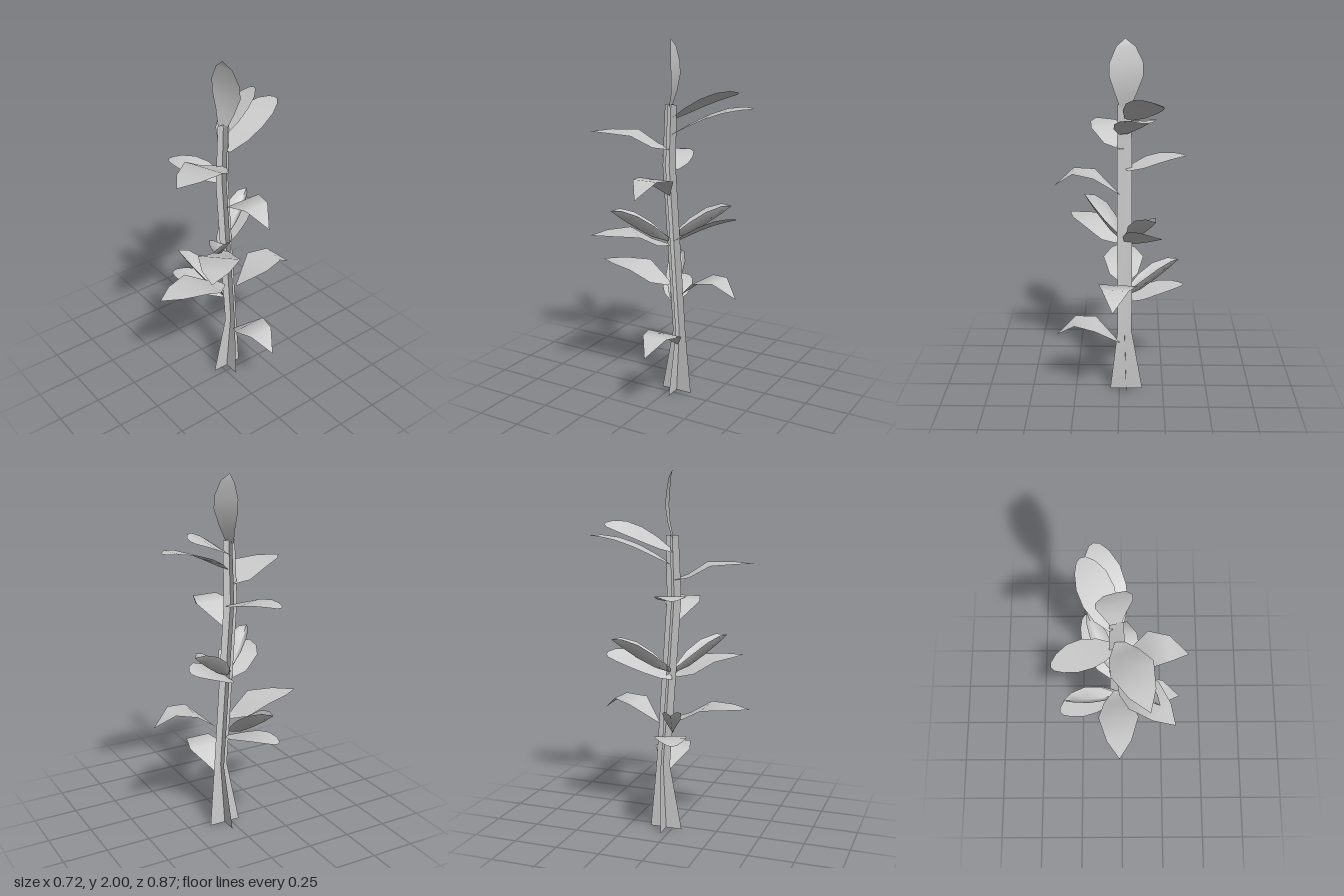
import * as THREE from 'three';

const material = new THREE.MeshStandardMaterial({ color: 0xcccccc, side: THREE.DoubleSide });

// Skin a grid of cross-sections (each an array of Vector3) into a smooth surface
function skin(name, sections) {
  const cols = sections[0].length;
  const index = [];
  for (let r = 0; r < sections.length - 1; r++) {
    for (let c = 0; c < cols - 1; c++) {
      const a = r * cols + c, b = a + 1, d = a + cols, e = d + 1;
      index.push(a, b, d, b, e, d);
    }
  }
  const geometry = new THREE.BufferGeometry().setFromPoints(sections.flat());
  geometry.setIndex(index);
  geometry.computeVertexNormals();
  const mesh = new THREE.Mesh(geometry, material);
  mesh.name = name;
  return mesh;
}

// Leaf profiles, one row each: [distance out, rise, half width, lift of the edges]
const DROOPING = [[0, 0, 0.006, 0], [0.137, 0.115, 0.105, 0], [0.25, 0.13, 0.072, 0], [0.355, 0.045, 0, 0]];
const POINTED = [[0, 0, 0.02, 0], [0.08, 0.02, 0.08, 0], [0.19, 0.085, 0.115, 0], [0.33, 0.09, 0.071, 0], [0.437, 0.085, 0, 0]];
const ROUNDED = [[0, 0, 0.02, 0], [0.07, 0.02, 0.066, 0], [0.15, 0.045, 0.086, 0], [0.23, 0.058, 0.082, 0],
  [0.3, 0.058, 0.055, 0], [0.34, 0.052, 0.025, 0], [0.35, 0.05, 0, 0]];
const RISING = ROUNDED.map(([d, , w]) => [d * 1.02, 0.14 * Math.sin(d * 4.3), w, 0]);
const LONG = ROUNDED.map(([d, , w]) => [d * 1.24, 0.15 * Math.sin(d * 4.8), w * 1.15, 0]);
const FOLDED = [[0, 0, 0.008, 0.025], [0.09, 0.03, 0.045, 0.075], [0.18, 0.085, 0.05, 0.08],
  [0.265, 0.145, 0.03, 0.05], [0.32, 0.19, 0, 0]];
const UPRIGHT = [[0, 0, 0.03, 0], [-0.02, 0.08, 0.06, 0], [-0.03, 0.17, 0.092, 0], [-0.025, 0.24, 0.09, 0],
  [-0.015, 0.32, 0.052, 0], [0, 0.36, 0, 0]];

// A leaf starts at base and points along (dx, dz); roll tilts it sideways
function leaf(name, base, [dx, dz], profile, roll = 0) {
  const length = Math.hypot(dx, dz);
  const ux = dx / length, uz = dz / length;
  const sections = profile.map(([d, rise, w, lift]) => [-1, 0, 1].map((s) => new THREE.Vector3(
    base[0] + ux * d + uz * w * s,
    base[1] + rise + Math.abs(s) * lift + roll * w * s,
    base[2] + uz * d - ux * w * s)));
  return skin(name, sections);
}

export function createModel() {
  const model = new THREE.Group();
  model.name = 'leafyPlant';

  // Stem: two crossed blades that flare at the foot, rows of [y, x, z, half width]
  const stemRows = [[0, -0.04, -0.037, 0.0925], [0.37, -0.03, -0.058, 0.04], [1.32, -0.027, 0.006, 0.041], [1.655, -0.027, -0.004, 0.036]];
  const stem = new THREE.Group();
  stem.name = 'stem';
  for (const [ax, az, name] of [[1, 0, 'stemBladeAcross'], [0, 1, 'stemBladeDeep']]) {
    stem.add(skin(name, stemRows.map(([y, x, z, w]) =>
      [-w, w].map((s) => new THREE.Vector3(x + ax * s, y, z + az * s)))));
  }
  model.add(stem);

  const leaves = [
    // crown leaf
    ['crownLeaf', [-0.03, 1.64, 0], [0.24, 0.97], UPRIGHT],
    // drooping pointed leaves
    ['upperLeftLeaf', [0, 1.165, -0.008], [1, 0], DROOPING],
    ['lowerLeftLeaf', [0, 0.305, -0.062], [1, 0], DROOPING],
    ['lowerBackLeaf', [-0.01, 0.605, -0.085], [0.04, -0.35], DROOPING],
    // broad pointed leaves
    ['upperFrontLeaf', [-0.02, 1.415, 0], [0.165, 0.425], POINTED],
    ['lowerFrontLeaf', [-0.025, 0.645, 0], [0.01, 0.435], POINTED],
    ['middleFrontLeftLeaf', [-0.015, 0.88, 0], [0.31, 0.315], POINTED],
    // rounded leaves
    ['upperRightLeaf', [-0.04, 1.302, -0.02], [-0.32, 0.135], ROUNDED],
    ['lowerRightLeaf', [-0.04, 0.543, -0.02], [-0.32, 0.135], ROUNDED],
    ['upperBackRightLeaf', [-0.045, 1.575, 0], [-0.16, -0.32], RISING, -0.42],
    ['middleBackRightLeaf', [-0.045, 0.88, 0], [-0.16, -0.32], RISING, -0.42],
    ['upperBackLeaf', [-0.02, 1.5, -0.02], [-0.12, -0.415], LONG],
    // young folded leaves
    ['foldedFrontLeaf', [-0.01, 0.9, 0], [0.22, 0.245], FOLDED],
    ['foldedRightLeaf', [-0.03, 0.56, 0], [-0.28, 0.09], FOLDED],
    ['foldedBackLeaf', [-0.045, 0.91, -0.01], [-0.145, -0.28], FOLDED],
  ];
  for (const spec of leaves) model.add(leaf(...spec));
  return model;
}
